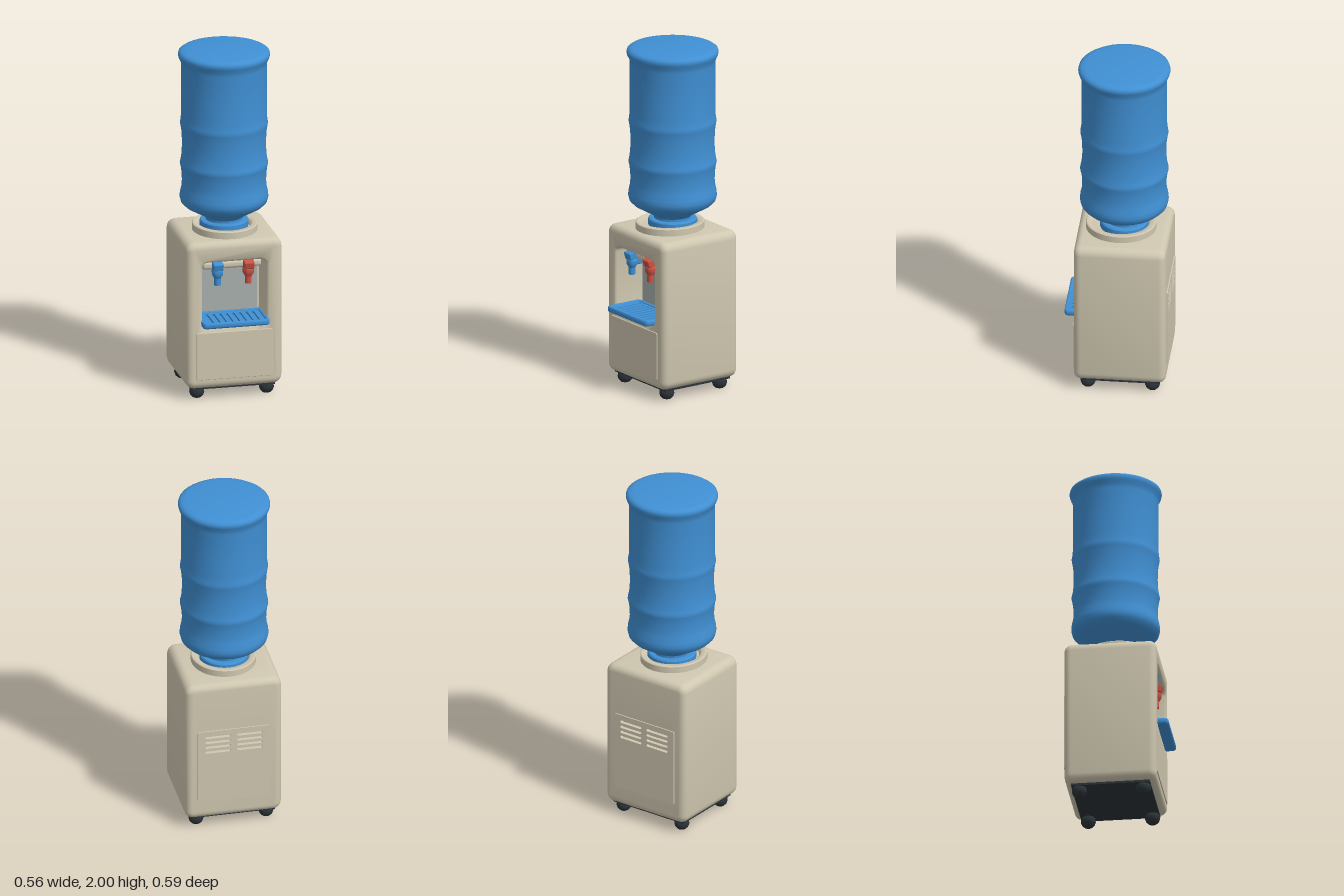
import * as THREE from 'three';
import { mergeGeometries, toCreasedNormals } from 'three/addons/utils/BufferGeometryUtils.js';
import { RoundedBoxGeometry } from 'three/addons/geometries/RoundedBoxGeometry.js';

const material = (name, color) => Object.assign(new THREE.MeshStandardMaterial({ color }), { name });
const beige = material('beige plastic', 0xcfc7b0);
const blue = material('blue plastic', 0x4090d4);
const red = material('red plastic', 0xcc5245);
const grey = material('grey panel', 0xa9b0ae);
const dark = material('dark rubber', 0x2c3438);

const MID_Z = -0.028;

function add(parent, name, geometry, mat, x = 0, y = 0, z = 0) {
  const mesh = new THREE.Mesh(geometry, mat);
  mesh.name = name;
  mesh.position.set(x, y, z);
  parent.add(mesh);
  return mesh;
}

// Rounded rectangle outline, counter-clockwise, centred on cx
function outline(half, y0, y1, r, cx = 0, steps = 5) {
  const corners = [[half - r, y0 + r, -1], [half - r, y1 - r, 0], [r - half, y1 - r, 1], [r - half, y0 + r, 2]];
  const points = [];
  for (const [x, y, q] of corners)
    for (let i = 0; i <= steps; i++) {
      const a = (q + i / steps) * Math.PI / 2;
      points.push(new THREE.Vector2(cx + x + r * Math.cos(a), y + r * Math.sin(a)));
    }
  return points;
}

// Surface joining outlines [z, points]; faces outward when z increases, inward when it falls
function loft(rings) {
  const n = rings[0][1].length, positions = [], index = [];
  rings.forEach(([z, points]) => points.forEach(p => positions.push(p.x, p.y, z)));
  for (let k = 0; k < rings.length - 1; k++)
    for (let i = 0; i < n; i++) {
      const a = k * n + i, b = k * n + (i + 1) % n;
      index.push(a, b, b + n, a, b + n, a + n);
    }
  const geometry = new THREE.BufferGeometry();
  geometry.setAttribute('position', new THREE.Float32BufferAttribute(positions, 3));
  geometry.setIndex(index);
  return geometry;
}

function shapeOf(points, holes = []) {
  const shape = new THREE.Shape(points);
  shape.holes = holes.map(h => new THREE.Path(h));
  return shape;
}

// Flat face at z, turned to the back when asked
function cap(z, points, holes, back = false) {
  const geometry = new THREE.ShapeGeometry(shapeOf(points, holes));
  if (back) geometry.rotateY(Math.PI);
  return geometry.translate(0, 0, z);
}

function joinSmooth(parts, crease = 0.6) {
  const plain = parts.map(part => {
    const g = part.toNonIndexed();
    g.deleteAttribute('uv');
    g.deleteAttribute('normal');
    return g;
  });
  return toCreasedNormals(mergeGeometries(plain), crease);
}

function extrude(shape, depth, bevel = 0) {
  return new THREE.ExtrudeGeometry(shape, {
    depth: depth - 2 * bevel, bevelEnabled: bevel > 0, bevelThickness: bevel,
    bevelSize: bevel, bevelOffset: -bevel, bevelSegments: 3,
  }).translate(0, 0, bevel);
}

function lathe(points, segments = 48) {
  const profile = points.map(p => new THREE.Vector2(...p));
  return toCreasedNormals(new THREE.LatheGeometry(profile, segments), 0.7);
}

// Cabinet shell with the dispensing recess in front and a vent pocket behind
function cabinetGeometry() {
  const front = 0.235, back = -0.29, r = 0.04;
  const skin = d => outline(0.28 - d, 0.065 + d, 0.935 - d, 0.05 - d);
  const recess = d => outline(0.2 - d, 0.43 + d, 0.828 - d, 0.045 - d);
  const pocket = outline(0.18, 0.48, 0.625, 0.005);
  const rings = [];
  for (let i = 0; i <= 5; i++) {
    const a = i / 5 * Math.PI / 2;
    rings.push([back + r * (1 - Math.sin(a)), skin(r * (1 - Math.cos(a)))]);
  }
  rings.reverse();
  rings.sort((p, q) => p[0] - q[0]);
  const frontRings = rings.map(([z, p]) => [front + back - z, p]).reverse();
  return joinSmooth([
    loft([...rings, ...frontRings]),
    cap(front, skin(r), [recess(0)]),
    cap(back, skin(r), [pocket], true),
    loft([[front, recess(0)], [0.231, recess(0.007)], [0.222, recess(0.012)], [0.05, recess(0.016)]]),
    cap(0.05, recess(0.016)),
    loft([[back + 0.04, pocket], [back, pocket]]),
    cap(back + 0.04, pocket, [], true),
  ]);
}

function addTap(parent, name, x, mat) {
  const tap = new THREE.Group();
  tap.name = name;
  tap.position.set(x, 0, 0);
  parent.add(tap);
  const lever = add(tap, 'tapLever', new RoundedBoxGeometry(0.06, 0.045, 0.05, 2, 0.008), mat, 0, 0.783, 0.2);
  lever.rotation.x = 0.25;
  add(tap, 'tapStem', new RoundedBoxGeometry(0.045, 0.04, 0.07, 2, 0.008), mat, 0, 0.745, 0.165);
  add(tap, 'tapBody', lathe([[0, 0.71], [0.02, 0.71], [0.032, 0.732], [0.032, 0.755], [0.024, 0.765], [0, 0.765]], 20), mat, 0, 0, 0.19);
  add(tap, 'tapSpout', new THREE.CylinderGeometry(0.019, 0.019, 0.05, 20), mat, 0, 0.693, 0.19);
}

export function createModel() {
  const model = new THREE.Group();
  model.name = 'waterDispenser';

  add(model, 'cabinet', cabinetGeometry(), beige);
  add(model, 'basePlate', new THREE.BoxGeometry(0.49, 0.025, 0.45), dark, 0, 0.067, MID_Z);
  add(model, 'frontPanel', extrude(shapeOf(outline(0.222, 0.122, 0.402, 0.01)), 0.012, 0.003), beige, 0, 0, 0.229);

  // Rear service panel with two columns of vent slots
  const vents = [];
  for (const side of [-1, 1])
    for (let i = 0; i < 4; i++) {
      const y = 0.6 - i * 0.032;
      vents.push(outline(0.074, y - 0.008, y + 0.008, 0.0078, side * 0.092));
    }
  add(model, 'rearPanel', extrude(shapeOf(outline(0.21, 0.18, 0.64, 0.01), vents), 0.022), beige, 0, 0, -0.297);

  // Feet
  const foot = lathe([[0, 0.005], [0.024, 0.005], [0.037, 0.018], [0.043, 0.036], [0.04, 0.055], [0.03, 0.07], [0, 0.075]], 24);
  for (const x of [-0.203, 0.203])
    for (const z of [0.157, -0.21]) add(model, 'foot', foot, dark, x, -0.005, z);

  // Recess fittings and taps
  add(model, 'splashPanel', new THREE.BoxGeometry(0.345, 0.31, 0.008), grey, 0, 0.62, 0.053);
  add(model, 'tapRail', new RoundedBoxGeometry(0.345, 0.046, 0.13, 4, 0.018), beige, 0, 0.778, 0.11);
  addTap(model, 'coldTap', -0.09, blue);
  addTap(model, 'hotTap', 0.09, red);

  // Drip tray: rim, slotted grille and floor, laid flat
  const tray = new THREE.Group();
  tray.name = 'dripTray';
  tray.position.set(0, 0.44, 0.179);
  tray.rotation.x = -Math.PI / 2;
  model.add(tray);
  const rimInner = outline(0.172, -0.095, 0.095, 0.012);
  const rim = extrude(shapeOf(outline(0.195, -0.116, 0.116, 0.025), [rimInner]), 0.035, 0.01);
  add(tray, 'trayRim', toCreasedNormals(rim, 0.7), blue);
  const slots = [];
  for (let i = 0; i < 8; i++) slots.push(outline(0.008, -0.083, 0.08, 0.0078, -0.134 + i * 0.0383));
  add(tray, 'trayGrille', extrude(shapeOf(outline(0.184, -0.105, 0.105, 0.012), slots), 0.012), blue, 0, 0, 0.014);
  add(tray, 'trayFloor', extrude(shapeOf(outline(0.184, -0.105, 0.105, 0.012)), 0.006), blue, 0, 0, 0.002);

  // Bottle seat
  const collar = add(model, 'bottleCollar', lathe([[0.185, 0.925], [0.185, 0.972], [0.181, 0.976], [0.155, 0.976], [0.15, 0.972], [0.14, 0.95], [0, 0.95]]), beige, 0, 0, -0.01);
  collar.scale.z = 1.08;
  add(model, 'bottleCap', lathe([[0, 0.94], [0.138, 0.94], [0.138, 0.985], [0.132, 0.992], [0, 0.992]]), blue, 0, 0, MID_Z);

  // Upturned bottle with ribs
  add(model, 'bottle', lathe([
    [0.105, 0.98], [0.106, 1.005], [0.125, 1.02], [0.17, 1.045], [0.222, 1.075], [0.245, 1.098], [0.252, 1.125],
    [0.25, 1.15], [0.242, 1.185], [0.239, 1.22], [0.241, 1.27], [0.247, 1.31], [0.251, 1.325], [0.247, 1.34],
    [0.241, 1.38], [0.238, 1.44], [0.241, 1.51], [0.247, 1.55], [0.25, 1.565], [0.247, 1.58], [0.243, 1.62],
    [0.243, 1.75], [0.243, 1.91], [0.247, 1.935], [0.258, 1.955], [0.262, 1.972], [0.258, 1.986], [0.245, 1.995],
    [0.22, 1.999], [0, 2],
  ]), blue, 0, 0, MID_Z);

  return model;
}
